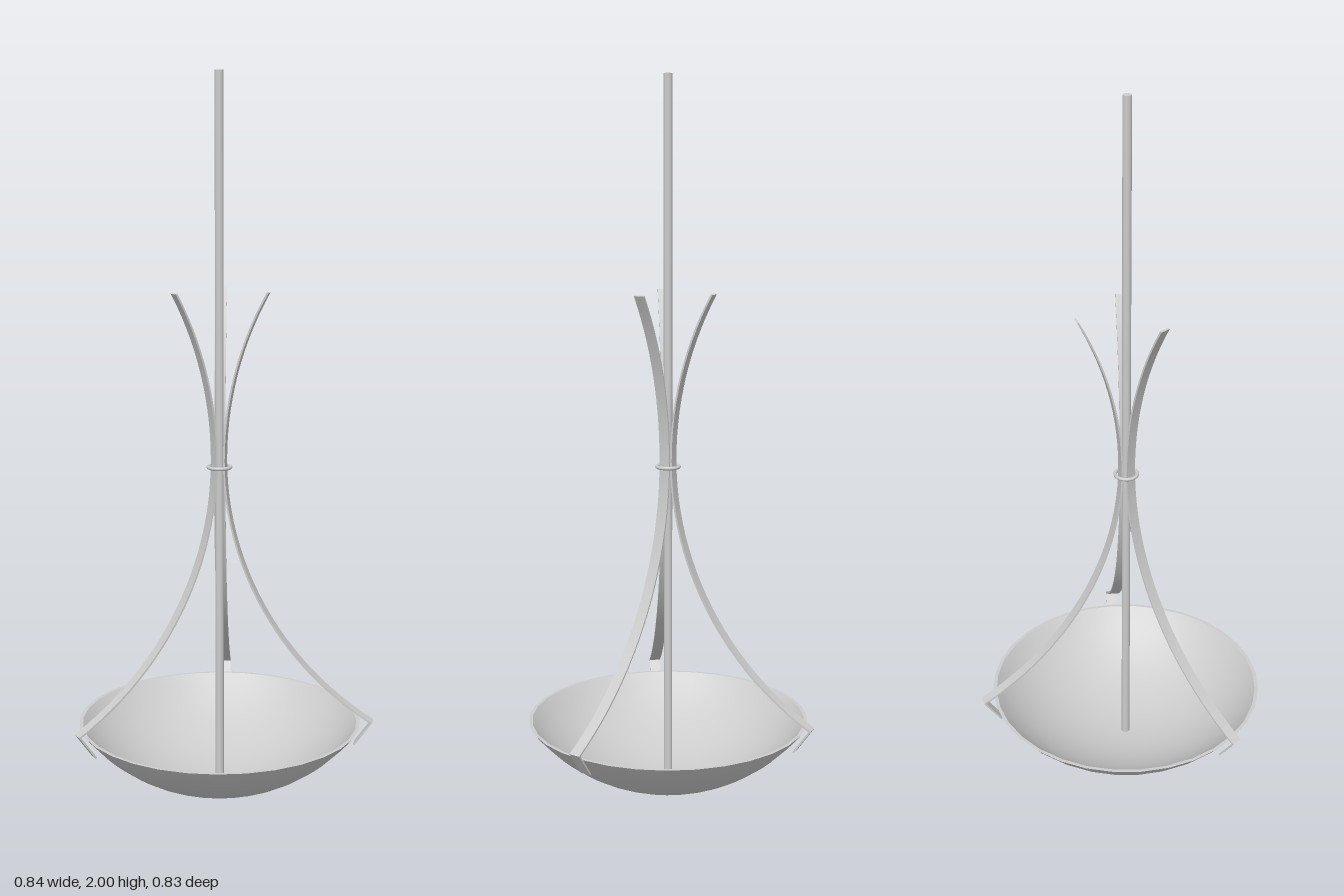
import * as THREE from 'three';
import { toCreasedNormals } from 'three/addons/utils/BufferGeometryUtils.js';

const V = (x, y) => new THREE.Vector2(x, y);
const material = new THREE.MeshStandardMaterial({ color: 0xcccccc });

function mesh(name, geometry) {
  const m = new THREE.Mesh(geometry, material);
  m.name = name;
  return m;
}

// Points at constant angle steps on an arc that leaves (x0, y0) vertically and ends at (x1, y1)
function arc(x0, y0, x1, y1, steps) {
  const dx = x1 - x0, dy = y1 - y0;
  const R = (dx * dx + dy * dy) / (2 * dx);
  const end = Math.asin(dy / R);
  return Array.from({ length: steps + 1 }, (_, i) => {
    const a = (end * i) / steps;
    return V(x0 + R * (1 - Math.cos(a)), y0 + R * Math.sin(a));
  });
}

// Flat strip bent along a path in the xy plane, with mitred corners
function bentStrip(path, thickness, width) {
  const side = (sign) => path.map((p, i) => {
    const prev = path[Math.max(i - 1, 0)], next = path[Math.min(i + 1, path.length - 1)];
    let d0 = p.clone().sub(prev).normalize(), d1 = next.clone().sub(p).normalize();
    if (i === 0) d0 = d1;
    if (i === path.length - 1) d1 = d0;
    const n0 = V(-d0.y, d0.x), n = n0.clone().add(V(-d1.y, d1.x)).normalize();
    return p.clone().addScaledVector(n, (sign * thickness) / 2 / n.dot(n0));
  });
  const shape = new THREE.Shape([...side(1), ...side(-1).reverse()]);
  const g = new THREE.ExtrudeGeometry(shape, { depth: width, bevelEnabled: false });
  g.translate(0, 0, -width / 2);
  return toCreasedNormals(g, 0.5);
}

// Spherical cap profile from the axis out to the rim
function capProfile(radius, bottom, rim, steps) {
  const h = rim - bottom;
  const R = (radius * radius + h * h) / (2 * h);
  const end = Math.asin(radius / R);
  return Array.from({ length: steps + 1 }, (_, i) => {
    const a = (end * i) / steps;
    return V(R * Math.sin(a), bottom + R * (1 - Math.cos(a)));
  });
}

export function createModel() {
  const model = new THREE.Group();
  model.name = 'pendantLamp';

  // Shallow bowl with a thin rim
  const rimY = 0.197;
  const outer = capProfile(0.4, 0, rimY, 16);
  const inner = capProfile(0.39, 0.01, rimY, 16).reverse();
  const bowl = new THREE.LatheGeometry([...outer, ...inner], 32);
  model.add(mesh('bowl', toCreasedNormals(bowl, 0.6)));

  // Central rod from the bowl floor to the ceiling
  const rod = mesh('rod', new THREE.CylinderGeometry(0.012, 0.012, 1.995, 16));
  rod.position.y = 1.0025;
  model.add(rod);

  // Ring that gathers the arms
  const ring = mesh('ring', new THREE.TorusGeometry(0.031, 0.005, 10, 32));
  ring.rotation.x = Math.PI / 2;
  ring.position.y = 0.93;
  model.add(ring);

  // Three bent strips, flaring at the top and hooked under the bowl's rim
  const upper = arc(0.016, 0.95, 0.136, 1.415, 14).reverse();
  const lower = arc(0.016, 0.95, 0.435, 0.223, 24).slice(1);
  const armGeometry = bentStrip([...upper, ...lower, V(0.388, 0.156)], 0.005, 0.032);
  [0, 100, 220].forEach((degrees, i) => {
    const arm = mesh('arm' + (i + 1), armGeometry);
    arm.rotation.y = THREE.MathUtils.degToRad(degrees);
    model.add(arm);
  });

  // Centre the uneven spread of the arms
  model.children.forEach((part) => {
    part.position.x -= 0.02;
    part.position.z += 0.017;
  });
  return model;
}
